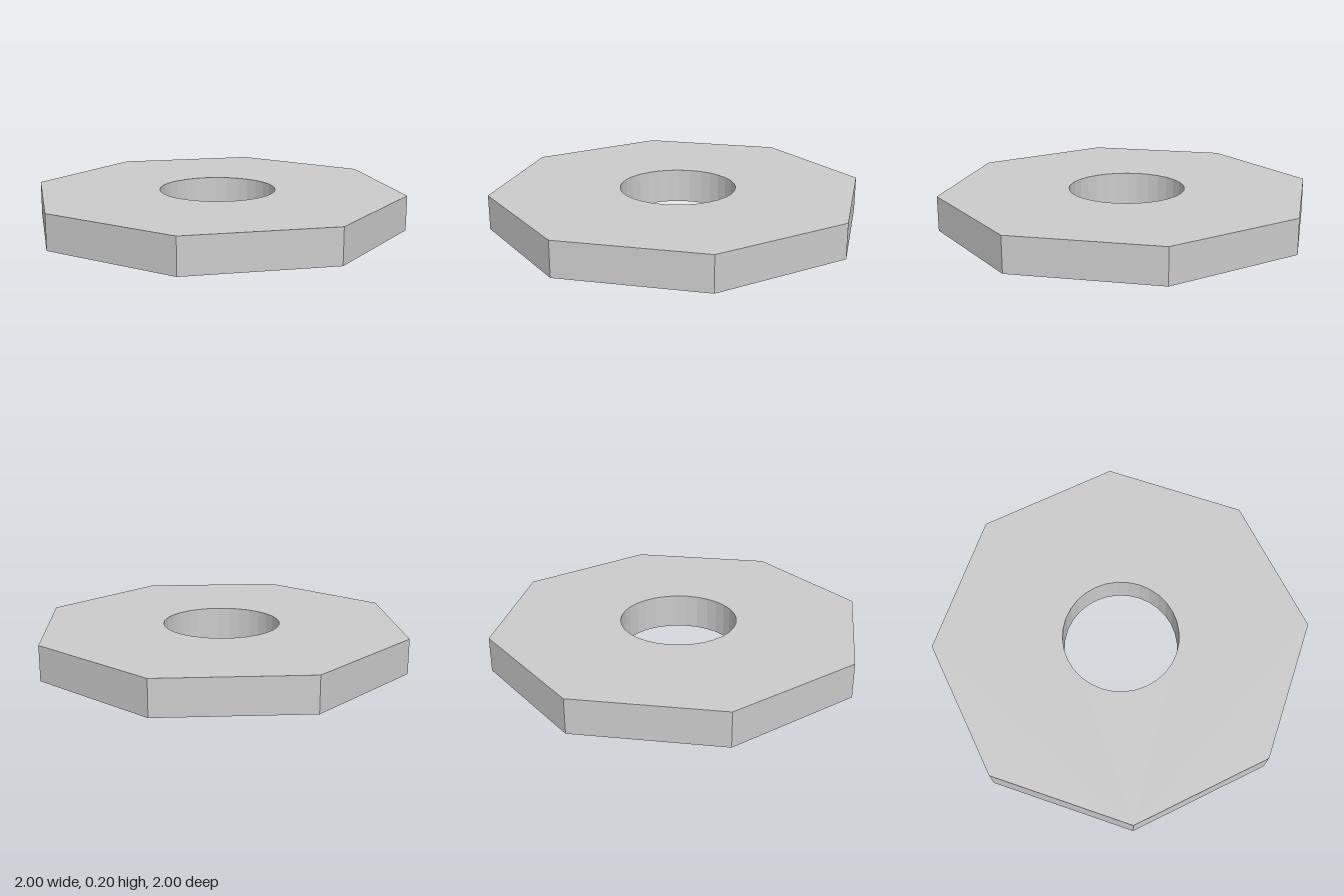
import * as THREE from 'three';

const APOTHEM = 1;
const THICKNESS = 0.2;
const HOLE_RADIUS = 0.335;

export function createModel() {
  const group = new THREE.Group();
  group.name = 'octagonalWasher';

  // Octagon outline with flat sides facing the axes
  const corners = [];
  const radius = APOTHEM / Math.cos(Math.PI / 8);
  for (let i = 0; i < 8; i++) {
    const angle = (i + 0.5) * Math.PI / 4;
    corners.push(new THREE.Vector2(radius * Math.cos(angle), radius * Math.sin(angle)));
  }
  const outline = new THREE.Shape(corners);

  // Round centre hole
  outline.holes.push(new THREE.Path().absarc(0, 0, HOLE_RADIUS, 0, Math.PI * 2, true));

  // Plate, laid flat on the ground
  const geometry = new THREE.ExtrudeGeometry(outline, {
    depth: THICKNESS,
    bevelEnabled: false,
    curveSegments: 16,
  });
  geometry.rotateX(-Math.PI / 2);

  const plate = new THREE.Mesh(
    geometry,
    new THREE.MeshStandardMaterial({ color: 0xcccccc, flatShading: true }),
  );
  plate.name = 'plate';
  group.add(plate);
  return group;
}
